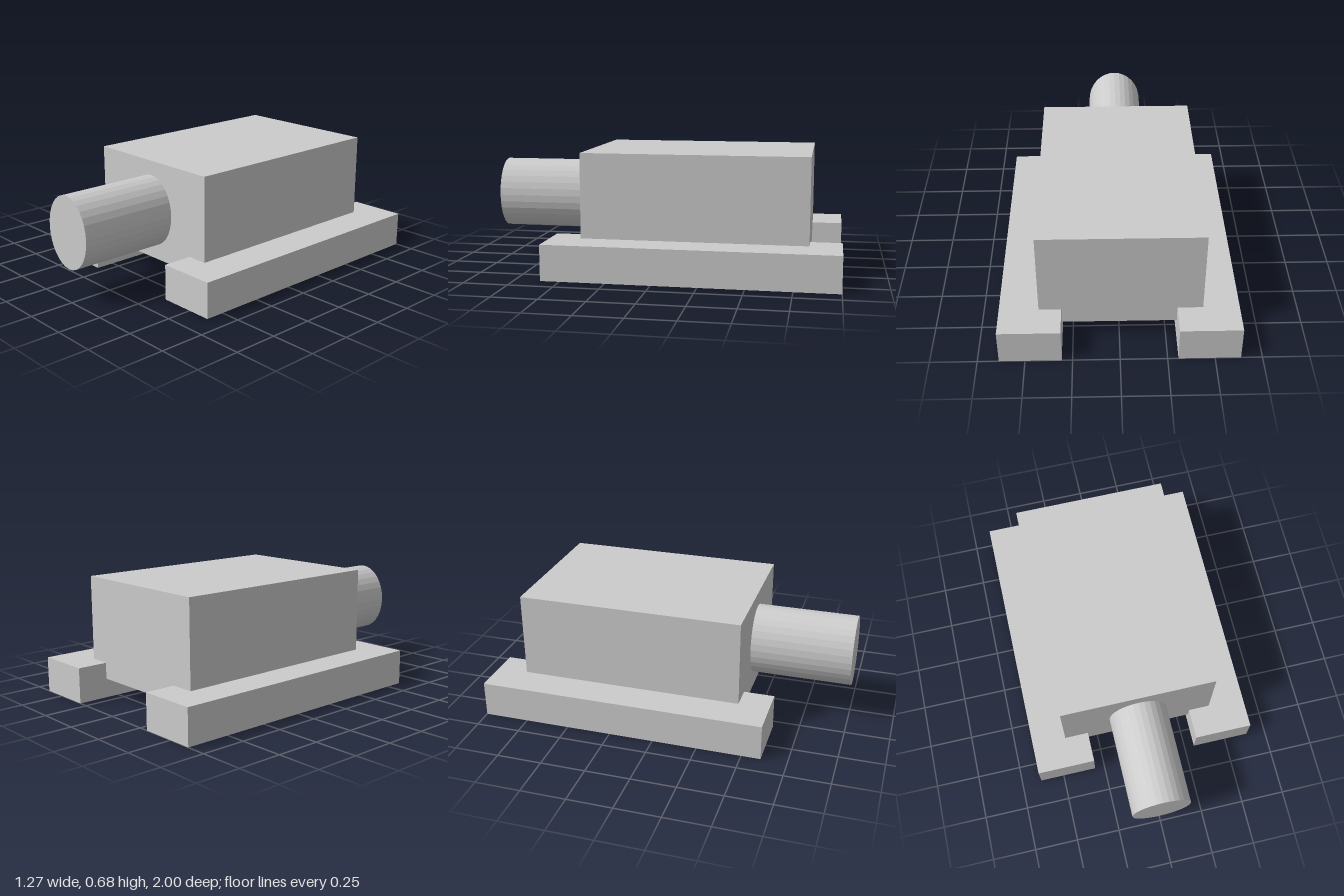
import * as THREE from 'three';

export function createModel() {
  const model = new THREE.Group();
  const material = new THREE.MeshStandardMaterial({ color: 0xcccccc, flatShading: true });

  const add = (name, geometry, x, y, z) => {
    const mesh = new THREE.Mesh(geometry, material);
    mesh.name = name;
    mesh.position.set(x, y, z);
    model.add(mesh);
    return mesh;
  };

  // Main hull, set slightly to the right and sunk between the tracks
  add('body', new THREE.BoxGeometry(0.87, 0.569, 1.26), -0.008, 0.3925, -0.195);

  // One track block on each side
  for (const [name, side] of [['leftTrack', 1], ['rightTrack', -1]]) {
    add(name, new THREE.BoxGeometry(0.33, 0.2, 1.607), side * 0.472, 0.1, -0.1965);
  }

  // Oval barrel projecting from the front of the hull
  const barrel = new THREE.CylinderGeometry(1, 1, 0.6, 32);
  barrel.rotateX(Math.PI / 2);
  barrel.scale(0.166, 0.203, 1);
  add('barrel', barrel, -0.008, 0.392, 0.7);

  return model;
}
